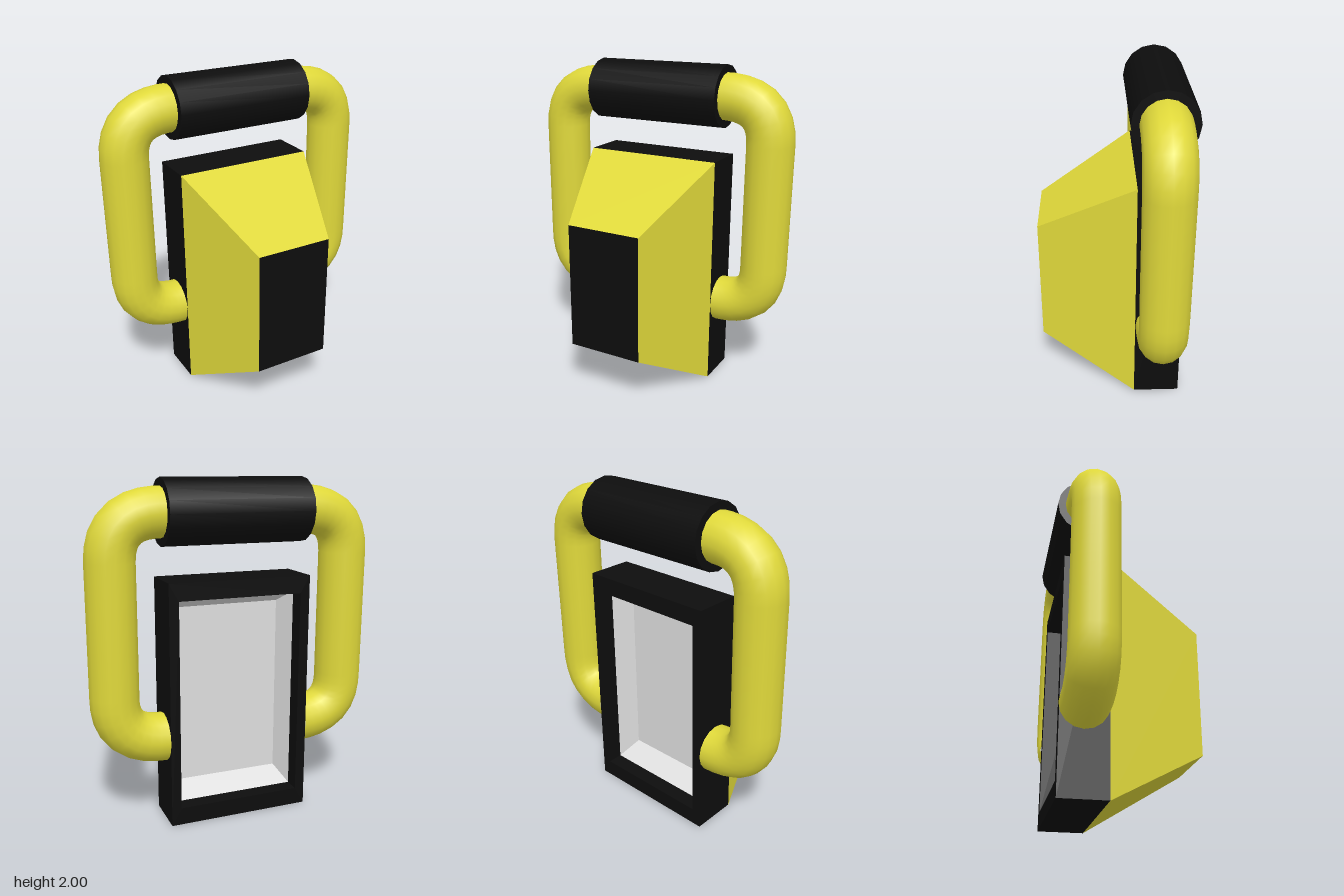
import * as THREE from 'three';

const yellow = new THREE.MeshStandardMaterial({ color: 0xdfd83a });
yellow.name = 'yellow';
const black = new THREE.MeshStandardMaterial({ color: 0x0d0d0d });
black.name = 'black';
const grey = new THREE.MeshStandardMaterial({ color: 0xdedede });
grey.name = 'light grey';

const MID_Y = 0.72;      // height of the housing centre
const HANDLE_Z = -0.263; // plane of the carrying handle

function add(group, name, geometry, material) {
  const mesh = new THREE.Mesh(geometry, material);
  mesh.name = name;
  group.add(mesh);
  return mesh;
}

// Box whose front (z1) and back (z0) rectangles have different half sizes
function taperedBox(back, z0, front, z1) {
  const geo = new THREE.BoxGeometry(2, 2, 2);
  const p = geo.attributes.position;
  for (let i = 0; i < p.count; i++) {
    const isFront = p.getZ(i) > 0;
    const [w, h] = isFront ? front : back;
    p.setXYZ(i, p.getX(i) * w, MID_Y + p.getY(i) * h, isFront ? z1 : z0);
  }
  geo.computeVertexNormals();
  return geo;
}

// Rectangle outline around the housing centre
function rectangle(PathType, w, h) {
  return new PathType([[-w, -h], [w, -h], [w, h], [-w, h]]
    .map(([x, y]) => new THREE.Vector2(x, y + MID_Y)));
}

export function createModel() {
  const model = new THREE.Group();
  model.name = 'portable lamp';

  // Housing frame, open at the back
  const outline = rectangle(THREE.Shape, 0.43, 0.72);
  outline.holes.push(rectangle(THREE.Path, 0.372, 0.617));
  const frame = new THREE.ExtrudeGeometry(outline, { depth: 0.28, bevelEnabled: false });
  frame.translate(0, 0, -0.4);
  add(model, 'housingFrame', frame, black);

  // Tapered front shell with a black end face
  add(model, 'frontShell', taperedBox([0.43, 0.72], -0.12, [0.235, 0.388], 0.455),
    [yellow, yellow, yellow, yellow, black, yellow]);

  // Reflector tray: inward-facing tapered box without its back face
  const tray = taperedBox([0.372, 0.617], -0.305, [0.326, 0.54], -0.17);
  tray.setIndex(Array.from(tray.index.array).slice(0, 30).reverse());
  tray.clearGroups();
  tray.computeVertexNormals();
  add(model, 'reflectorTray', tray, grey);

  // Handle: rounded loop from one side of the housing to the other
  const v = (x, y) => new THREE.Vector3(x, y, HANDLE_Z);
  const path = new THREE.CurvePath();
  const low = 0.517, high = 1.813, x0 = 0.43, x1 = 0.718, bend = 0.26;
  path.add(new THREE.QuadraticBezierCurve3(v(-x0, low), v(-x1, low), v(-x1, low + bend)));
  path.add(new THREE.LineCurve3(v(-x1, low + bend), v(-x1, high - bend)));
  path.add(new THREE.QuadraticBezierCurve3(v(-x1, high - bend), v(-x1, high), v(-x0, high)));
  path.add(new THREE.LineCurve3(v(-x0, high), v(x0, high)));
  path.add(new THREE.QuadraticBezierCurve3(v(x0, high), v(x1, high), v(x1, high - bend)));
  path.add(new THREE.LineCurve3(v(x1, high - bend), v(x1, low + bend)));
  path.add(new THREE.QuadraticBezierCurve3(v(x1, low + bend), v(x1, low), v(x0, low)));
  add(model, 'handle', new THREE.TubeGeometry(path, 72, 0.142, 16, false), yellow);

  // Grip sleeve
  const grip = new THREE.CylinderGeometry(0.188, 0.188, 0.86, 16);
  grip.rotateZ(Math.PI / 2);
  add(model, 'grip', grip, black).position.set(0, 1.812, HANDLE_Z);

  return model;
}
